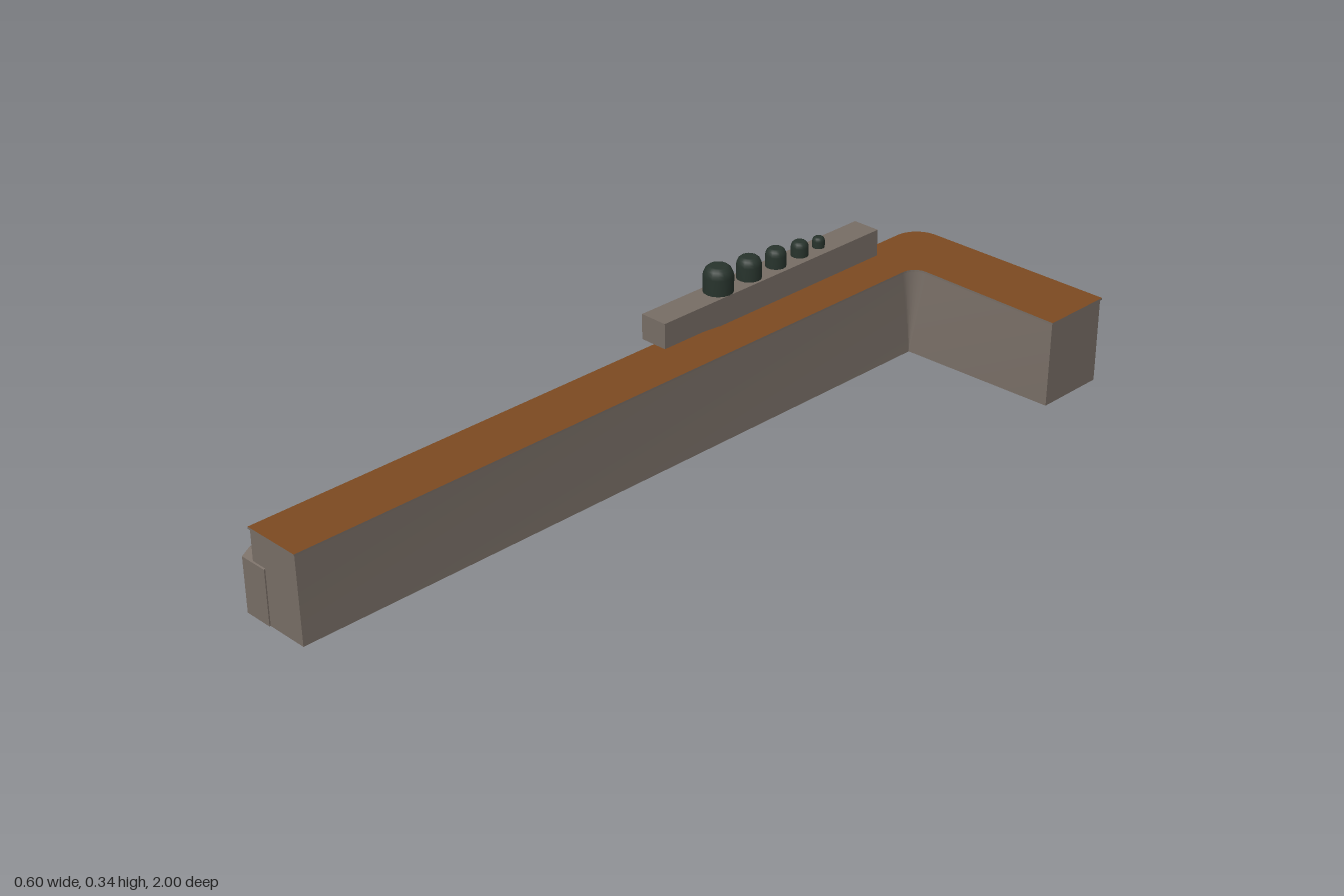
import * as THREE from 'three';

const mat = (name, color, side = THREE.FrontSide) => {
  const m = new THREE.MeshStandardMaterial({ color, side });
  m.name = name;
  return m;
};

export function createModel() {
  const group = new THREE.Group();
  const stone = mat('stone', 0x776d65, THREE.DoubleSide);
  const wood = mat('brown top', 0x7c4a21);
  const dark = mat('dark green', 0x27332c);

  const add = (name, geometry, material) => {
    const mesh = new THREE.Mesh(geometry, material);
    mesh.name = name;
    group.add(mesh);
    return mesh;
  };

  // Quarter arc as [x, z] points
  const arc = (cx, cz, r, from, to, n = 6) => Array.from({ length: n + 1 }, (_, i) => {
    const a = from + (to - from) * i / n;
    return [cx + r * Math.cos(a), cz + r * Math.sin(a)];
  });

  // L outline at counter height; o is the overhang
  const innerTop = (o) => [
    [-0.125 + o, 0.997 + o],
    ...arc(-0.085, -0.785, 0.04 - o, Math.PI, Math.PI * 1.5),
    [0.293 + o, -0.818 + o],
  ];
  const outerTop = (o) => [
    [0.293 + o, -0.997 - o],
    ...arc(-0.207, -0.937, 0.06 + o, Math.PI * 1.5, Math.PI),
    [-0.267 - o, 0.997 + o],
  ];

  // Base outline: the rounded corners close to sharp ones at the floor
  const sharp = (start, corner, end, n = 7) => [start, ...Array(n).fill(corner), end];
  const innerBase = sharp([-0.122, 0.997], [-0.111, -0.803], [0.293, -0.815]);
  const outerBase = sharp([0.293, -0.997], [-0.269, -0.997], [-0.269, 0.997]);

  // Smooth wall lofted from a base line to a top line
  const wall = (name, base, top) => {
    const pos = [], idx = [];
    base.forEach((b, i) => {
      pos.push(b[0], 0, b[1], top[i][0], 0.209, top[i][1]);
      if (i) {
        const k = 2 * (i - 1);
        idx.push(k, k + 2, k + 3, k, k + 3, k + 1);
      }
    });
    const g = new THREE.BufferGeometry();
    g.setAttribute('position', new THREE.Float32BufferAttribute(pos, 3));
    g.setIndex(idx);
    g.computeVertexNormals();
    add(name, g, stone);
  };
  const it = innerTop(0), ot = outerTop(0);
  wall('innerWall', innerBase, it);
  wall('outerWall', outerBase, ot);
  wall('armEndWall', [innerBase.at(-1), outerBase[0]], [it.at(-1), ot[0]]);
  wall('frontEndWall', [outerBase.at(-1), innerBase[0]], [ot.at(-1), it[0]]);

  // Counter slab: brown faces with a stone rim
  const outline = [...innerTop(0.003), ...outerTop(0.003)]
    .map(([x, z]) => new THREE.Vector2(x, -z));
  const slab = new THREE.ExtrudeGeometry(new THREE.Shape(outline), { depth: 0.005, bevelEnabled: false });
  slab.rotateX(-Math.PI / 2).translate(0, 0.208, 0);
  add('counterTop', slab, [wood, stone]);

  // Side panels: [z, y] profiles extruded across x
  const panel = (name, points) => {
    const shape = new THREE.Shape(points.map(([z, y]) => new THREE.Vector2(z, y)));
    const g = new THREE.ExtrudeGeometry(shape, { depth: 0.072, bevelEnabled: false });
    g.rotateY(-Math.PI / 2).translate(-0.228, 0, 0);
    add(name, g, stone);
  };
  panel('lowerWavyPanel', [
    [0.27, 0], [1, 0], [1, 0.132], [0.98, 0.146], [0.965, 0.148], [0.87, 0.126], [0.8, 0.112],
    [0.78, 0.105], [0.69, 0.076], [0.6, 0.066], [0.34, 0.058], [0.32, 0.056], [0.27, 0.05],
  ]);
  panel('upperWavyBlock', [
    [-0.81, 0.28], [-0.81, 0.132], [-0.74, 0.134], [-0.58, 0.15], [-0.46, 0.162],
    [-0.35, 0.192], [-0.27, 0.214], [-0.22, 0.218], [-0.1, 0.218], [-0.1, 0.28],
  ]);

  // Row of dark round-topped pegs, shrinking toward the back
  const pegs = [
    [-0.305, 0.036, 0.063], [-0.405, 0.03, 0.053], [-0.494, 0.025, 0.045],
    [-0.575, 0.021, 0.036], [-0.64, 0.015, 0.026],
  ];
  pegs.forEach(([z, r, h], i) => {
    const profile = [[1, 0], [1, 0.62], [0.95, 0.76], [0.84, 0.89], [0.66, 0.98], [0.55, 1], [0, 1]]
      .map(([a, b]) => new THREE.Vector2(a * r, b * h));
    add(`peg${i + 1}`, new THREE.LatheGeometry(profile, 16), dark).position.set(-0.264, 0.28, z);
  });

  return group;
}
